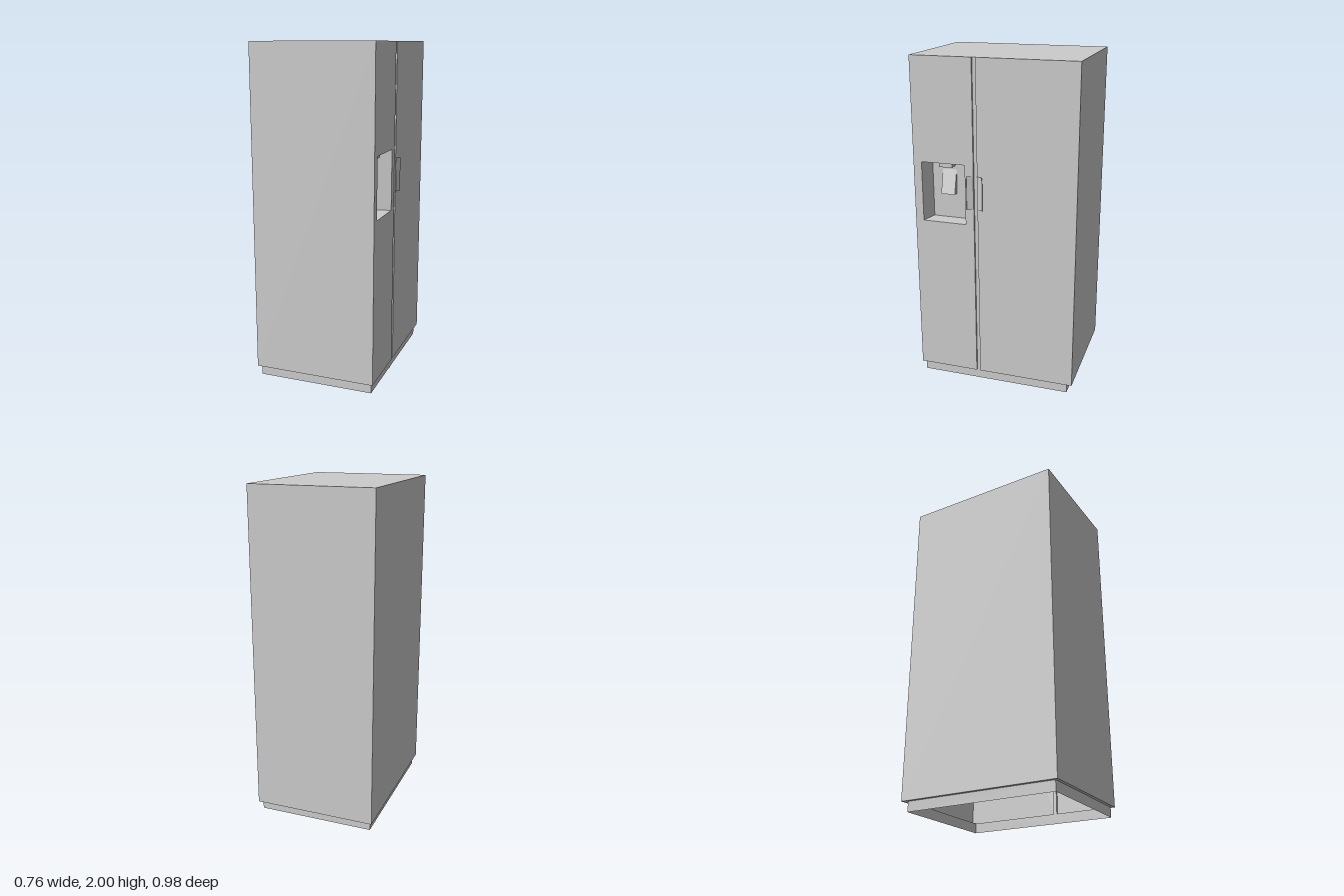
import * as THREE from 'three';

const material = new THREE.MeshStandardMaterial({ color: 0xcccccc, flatShading: true, side: THREE.DoubleSide });

// Main dimensions; the doors face +x
const BACK = -0.38, FRONT = 0.36, HALF = 0.49, LOW = 0.06, TOP = 2;
const GAP = { x: 0.347, z0: 0.097, z1: 0.12 };
const BASE = { x0: -0.36, x1: 0.345, z0: -0.457, z1: 0.47 };

function add(parent, name, geometry) {
  const mesh = new THREE.Mesh(geometry, material);
  mesh.name = name;
  parent.add(mesh);
  return mesh;
}

// Outline given as [x, z] pairs, to be laid flat on the ground plane
const planShape = (points) => new THREE.Shape(points.map(([x, z]) => new THREE.Vector2(x, -z)));
const flat = (shape, y) => new THREE.ShapeGeometry(shape).rotateX(-Math.PI / 2).translate(0, y, 0);

// Outline given as [z, y] pairs, to stand facing +x
const frontShape = (z0, z1, y0, y1) => new THREE.Shape(
  [[z0, y0], [z1, y0], [z1, y1], [z0, y1]].map(([z, y]) => new THREE.Vector2(-z, y)));
const standing = (shape, x) => new THREE.ShapeGeometry(shape).rotateY(Math.PI / 2).translate(x, 0, 0);

// Flat four-cornered panel, corners counter-clockwise from outside
function quad(a, b, c, d) {
  const g = new THREE.BufferGeometry();
  g.setAttribute('position', new THREE.Float32BufferAttribute([a, b, c, a, c, d].flat(), 3));
  g.computeVertexNormals();
  return g;
}

// Upright panel between two plan points
const wall = ([xa, za], [xb, zb], y0, y1) =>
  quad([xa, y0, za], [xb, y0, zb], [xb, y1, zb], [xa, y1, za]);

// Prism from an [x, y] profile, running along z
function prism(points, z0, z1) {
  const shape = new THREE.Shape(points.map(([x, y]) => new THREE.Vector2(x, y)));
  return new THREE.ExtrudeGeometry(shape, { depth: z1 - z0, bevelEnabled: false }).translate(0, 0, z0);
}

export function createModel() {
  const model = new THREE.Group();
  model.name = 'refrigerator';

  // Hollow cabinet with a notch where the doors meet
  const cabinet = new THREE.Group();
  cabinet.name = 'cabinet';
  model.add(cabinet);
  const outline = [
    [BACK, HALF], [FRONT, HALF], [FRONT, GAP.z1], [GAP.x, GAP.z1],
    [GAP.x, GAP.z0], [FRONT, GAP.z0], [FRONT, -HALF], [BACK, -HALF],
  ];
  add(cabinet, 'topPanel', flat(planShape(outline), TOP));
  add(cabinet, 'leftSide', wall(outline[0], outline[1], LOW, TOP));
  add(cabinet, 'rightSide', wall(outline[6], outline[7], LOW, TOP));
  add(cabinet, 'backPanel', wall(outline[7], outline[0], LOW, TOP));
  add(cabinet, 'gapSideA', wall(outline[2], outline[3], LOW, TOP));
  add(cabinet, 'gapStrip', wall(outline[3], outline[4], 0, TOP));
  add(cabinet, 'gapSideB', wall(outline[4], outline[5], LOW, TOP));

  // Underside ledge around the plinth, open in the middle
  const plinth = [[BASE.x0, BASE.z1], [BASE.x1, BASE.z1], [BASE.x1, BASE.z0], [BASE.x0, BASE.z0]];
  const ledge = planShape(outline);
  ledge.holes.push(planShape(plinth));
  add(cabinet, 'undersideLedge', flat(ledge, LOW));
  plinth.forEach((p, i) => add(model, 'plinthWall', wall(p, plinth[(i + 1) % 4], 0, LOW)));

  // Doors, the freezer one with an opening for the dispenser
  const R = { z0: 0.172, z1: 0.44, b0: 0.197, b1: 0.414, y0: 1.03, y1: 1.39, x: 0.257 };
  const freezer = frontShape(GAP.z1, HALF, LOW, TOP);
  freezer.holes.push(frontShape(R.z0, R.z1, R.y0, R.y1));
  add(model, 'freezerDoor', standing(freezer, FRONT));
  add(model, 'fridgeDoor', standing(frontShape(-HALF, GAP.z0, LOW, TOP), FRONT));

  // Dispenser recess with flared sides
  const dispenser = new THREE.Group();
  dispenser.name = 'dispenser';
  model.add(dispenser);
  const recess = [[FRONT, R.z1], [R.x, R.b1], [R.x, R.b0], [FRONT, R.z0]];
  ['recessLeft', 'recessBack', 'recessRight'].forEach((name, i) =>
    add(dispenser, name, wall(recess[i], recess[i + 1], R.y0, R.y1)));
  add(dispenser, 'recessFloor', flat(planShape(recess), R.y0));
  const ceiling = flat(planShape(recess), R.y1);
  ceiling.setIndex([...ceiling.index.array].reverse());
  ceiling.computeVertexNormals();
  add(dispenser, 'recessCeiling', ceiling);

  // Nozzle block and sloping paddle
  add(dispenser, 'nozzle', prism(
    [[R.x, 1.355], [R.x + 0.06, 1.355], [R.x + 0.06, R.y1], [R.x, R.y1]], 0.268, 0.348));
  add(dispenser, 'paddle', prism([[R.x, 1.185], [R.x + 0.04, 1.185], [R.x, 1.33]], 0.263, 0.349));

  // Mirrored bent-plate handles beside the gap
  const middle = (GAP.z0 + GAP.z1) / 2;
  for (const side of [1, -1]) {
    const plate = [
      [0.35, 0.0115], [0.364, 0.0115], [0.379, 0.047], [0.377, 0.049], [0.362, 0.0145], [0.35, 0.0145],
    ].map(([x, d]) => [x, middle + side * d]);
    const g = new THREE.ExtrudeGeometry(planShape(plate), { depth: 0.2, bevelEnabled: false });
    g.rotateX(-Math.PI / 2).translate(0, 1.13, 0);
    add(model, side > 0 ? 'freezerHandle' : 'fridgeHandle', g);
  }
  return model;
}
